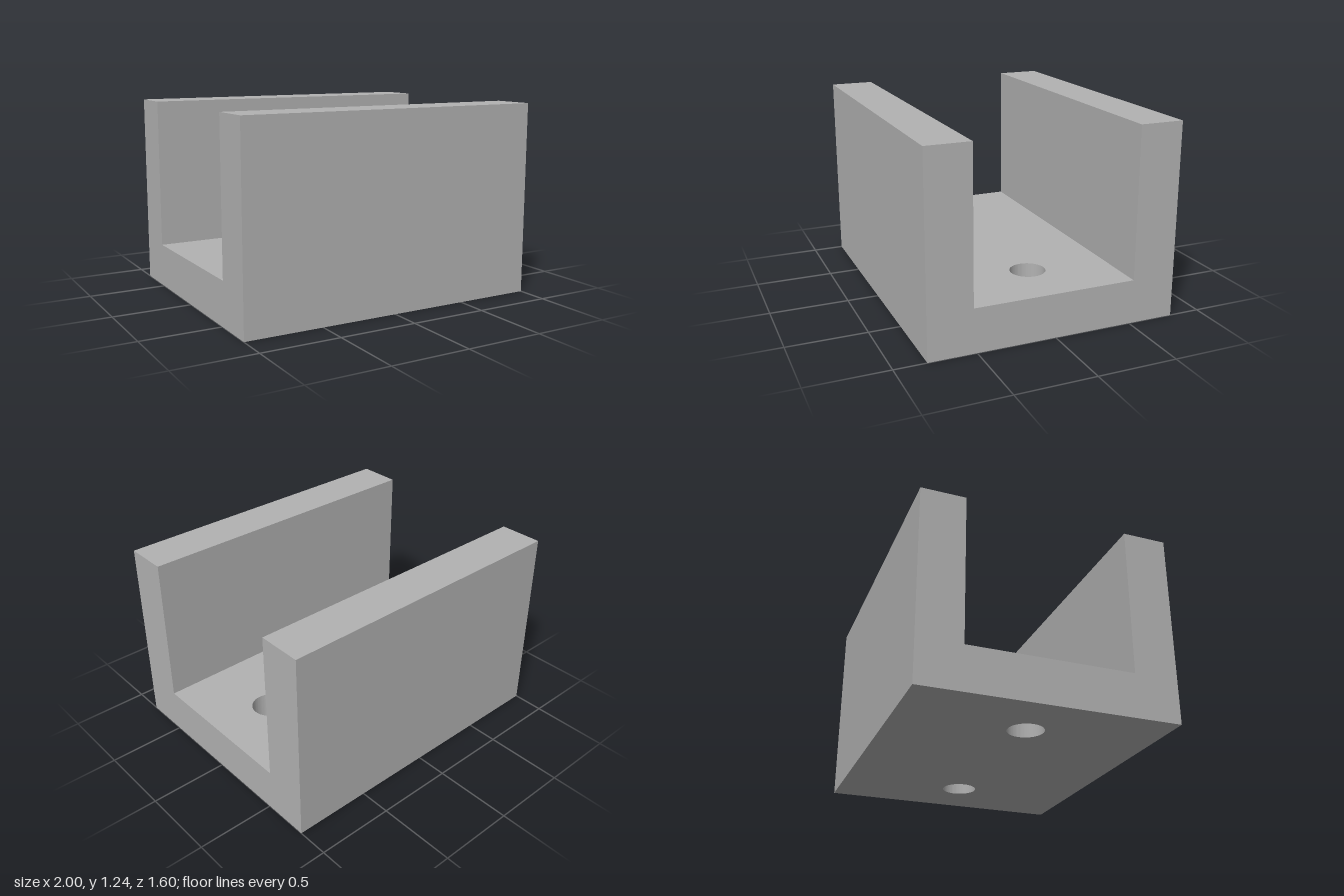
import * as THREE from 'three';
import { toCreasedNormals } from 'three/addons/utils/BufferGeometryUtils.js';

const LENGTH = 2, DEPTH = 1.6, HEIGHT = 1.24;
const FLOOR = 0.28, WALL = 0.28;
const HOLE_X = 0.6, HOLE_RADIUS = 0.112;

export function createModel() {
  const group = new THREE.Group();
  group.name = 'channelBracket';
  const grey = new THREE.MeshStandardMaterial({ name: 'grey', color: 0xb2b2b2 });

  // Base plate with two round through holes
  const x = LENGTH / 2, z = DEPTH / 2;
  const outline = new THREE.Shape([
    new THREE.Vector2(-x, -z), new THREE.Vector2(x, -z),
    new THREE.Vector2(x, z), new THREE.Vector2(-x, z),
  ]);
  for (const side of [-1, 1]) {
    const hole = new THREE.Path();
    hole.absarc(side * HOLE_X, 0, HOLE_RADIUS, 0, Math.PI * 2, true);
    outline.holes.push(hole);
  }
  const plate = new THREE.ExtrudeGeometry(outline, {
    depth: FLOOR, bevelEnabled: false, curveSegments: 48,
  });
  plate.rotateX(-Math.PI / 2);
  const base = new THREE.Mesh(toCreasedNormals(plate, 0.5), grey);
  base.name = 'basePlate';
  group.add(base);

  // Upright walls along the front and back edges
  const wallHeight = HEIGHT - FLOOR;
  for (const [name, side] of [['frontWall', 1], ['backWall', -1]]) {
    const wall = new THREE.Mesh(new THREE.BoxGeometry(LENGTH, wallHeight, WALL), grey);
    wall.name = name;
    wall.position.set(0, FLOOR + wallHeight / 2, side * (DEPTH - WALL) / 2);
    group.add(wall);
  }
  return group;
}
